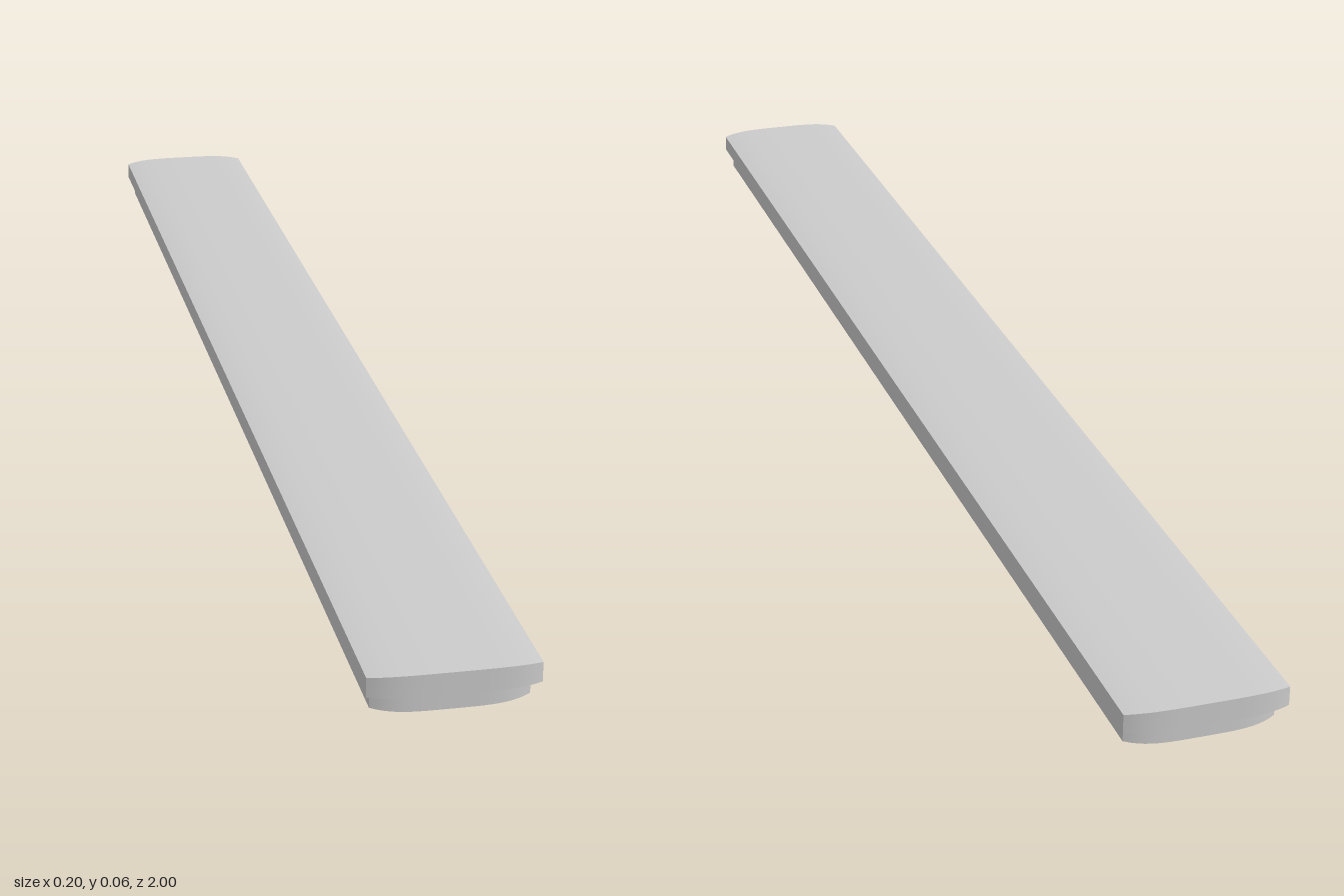
import * as THREE from 'three';

const material = new THREE.MeshStandardMaterial({ color: 0xcccccc });

// Long slab with gently bowed ends; its outer face (up = 1, down = -1) eases off towards the long edges
function slab(name, halfWidth, halfLength, y0, y1, outer) {
  const h = y1 - y0;
  const geometry = new THREE.BoxGeometry(halfWidth * 2, h, halfLength * 2, 24, 1, 1);
  const p = geometry.attributes.position;
  for (let i = 0; i < p.count; i++) {
    const ease = Math.abs(p.getX(i) / halfWidth) ** 4;
    const y = p.getY(i), z = p.getZ(i);
    p.setZ(i, z - Math.sign(z) * 0.012 * ease);
    if (y * outer > 0) p.setY(i, y - outer * 0.004 * ease);
  }
  geometry.computeVertexNormals();
  const mesh = new THREE.Mesh(geometry, material);
  mesh.name = name;
  mesh.position.y = (y0 + y1) / 2;
  return mesh;
}

export function createModel() {
  const group = new THREE.Group();
  group.name = 'steppedBar';
  // Wider top plate resting on a slightly smaller base plate
  group.add(slab('topPlate', 0.1, 1, 0.028, 0.056, 1));
  group.add(slab('basePlate', 0.092, 0.98, 0, 0.028, -1));
  return group;
}
